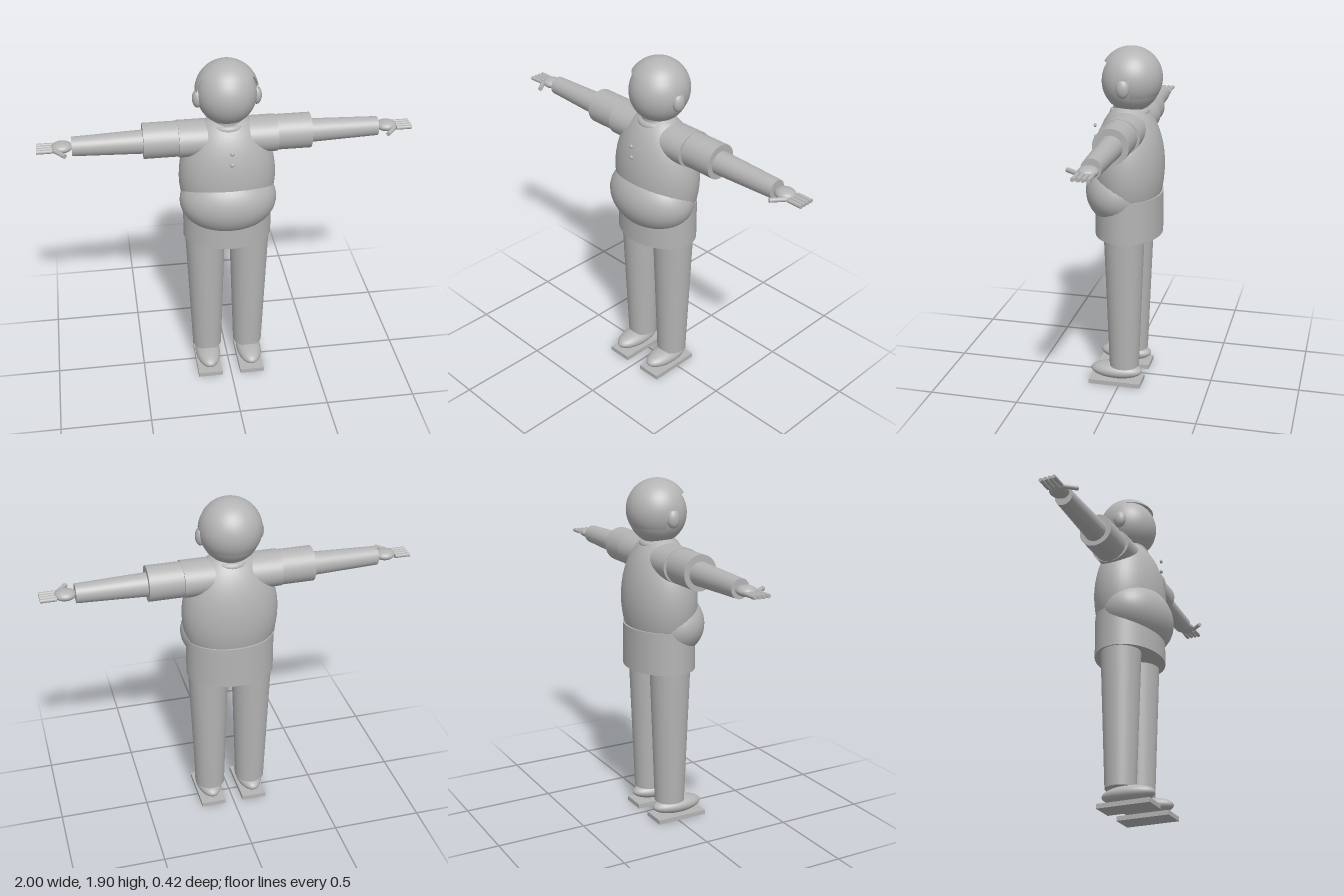
import * as THREE from 'three';

export function createModel() {
  const model = new THREE.Group();
  const grey = new THREE.MeshStandardMaterial({ color: 0xb4b4b4, side: THREE.DoubleSide });
  grey.name = 'plain grey';

  const add = (name, geometry, x, y, z) => {
    const mesh = new THREE.Mesh(geometry, grey);
    mesh.name = name;
    mesh.position.set(x, y, z);
    model.add(mesh);
    return mesh;
  };
  const ellipsoid = (name, x, y, z, rx, ry, rz) =>
    add(name, new THREE.SphereGeometry(1, 40, 28).scale(rx, ry, rz), x, y, z);

  // Tapered round rod between two points
  const rod = (name, a, b, ra, rb, sides = 40) => {
    const p = new THREE.Vector3(...a), q = new THREE.Vector3(...b);
    const dir = q.clone().sub(p);
    const mid = p.clone().add(q).multiplyScalar(0.5);
    const mesh = add(name, new THREE.CylinderGeometry(rb, ra, dir.length(), sides), mid.x, mid.y, mid.z);
    mesh.quaternion.setFromUnitVectors(new THREE.Vector3(0, 1, 0), dir.normalize());
    return mesh;
  };

  // Band of a sphere between two heights, kept only behind the plane z = cut
  const hairBand = (name, r, y0, y1, cut) => {
    const nu = 40, nv = 12, pos = [], index = [];
    const t0 = Math.acos(y1 / r), t1 = Math.acos(y0 / r);
    for (let j = 0; j <= nv; j++) {
      const t = t0 + (t1 - t0) * j / nv;
      const ring = r * Math.sin(t);
      const start = ring > cut ? Math.acos(Math.max(-1, cut / Math.max(ring, 1e-6))) : 0;
      for (let i = 0; i <= nu; i++) {
        const a = start + (2 * Math.PI - 2 * start) * i / nu;
        pos.push(ring * Math.sin(a), r * Math.cos(t), ring * Math.cos(a));
        if (i < nu && j < nv) {
          const k = j * (nu + 1) + i, m = k + nu + 1;
          index.push(k, m, k + 1, k + 1, m, m + 1);
        }
      }
    }
    const g = new THREE.BufferGeometry();
    g.setAttribute('position', new THREE.Float32BufferAttribute(pos, 3));
    g.setAttribute('normal', new THREE.Float32BufferAttribute(pos.map(v => v / r), 3));
    g.setIndex(index);
    add(name, g, 0, 1.737, -0.03);
  };

  // Head and stepped hair
  ellipsoid('head', 0, 1.72, -0.03, 0.158, 0.165, 0.158);
  hairBand('hairCrown', 0.167, 0.089, 0.167, 1);
  hairBand('hairSides', 0.167, 0.013, 0.089, 0.042);
  hairBand('hairBack', 0.167, -0.092, 0.013, -0.025);

  // Neck and collar
  add('neck', new THREE.CylinderGeometry(0.085, 0.085, 0.12, 40), 0, 1.55, -0.02);
  add('collar', new THREE.TorusGeometry(0.085, 0.021, 16, 48).rotateX(Math.PI / 2), 0, 1.553, -0.02);

  // Body
  ellipsoid('torso', 0, 1.25, -0.02, 0.262, 0.36, 0.19);
  ellipsoid('belly', 0, 1.12, 0.02, 0.264, 0.19, 0.194);
  add('hips', new THREE.CylinderGeometry(1, 1, 0.235, 48).scale(0.243, 1, 0.184), 0, 0.9925, -0.021);
  add('shoulderYoke', new THREE.CylinderGeometry(1, 1, 0.524, 48).rotateZ(Math.PI / 2).scale(1, 0.096, 0.112), 0, 1.475, -0.024);
  for (const y of [1.4, 1.465]) ellipsoid('button', 0, y, 0.171, 0.011, 0.011, 0.008);

  for (const s of [1, -1]) {
    const side = s > 0 ? 'left' : 'right';
    ellipsoid(side + 'Ear', s * 0.155, 1.705, -0.018, 0.028, 0.05, 0.036);

    // Arm and hand
    rod(side + 'Sleeve', [s * 0.25, 1.475, -0.026], [s * 0.447, 1.475, -0.026], 0.095, 0.095);
    rod(side + 'Arm', [s * 0.43, 1.471, -0.026], [s * 0.817, 1.471, -0.026], 0.064, 0.051);
    ellipsoid(side + 'Hand', s * 0.868, 1.472, -0.026, 0.056, 0.028, 0.051);
    for (let i = 0; i < 4; i++) {
      const z = -0.061 + i * 0.0245;
      rod(side + 'Finger', [s * 0.915, 1.47, z], [s, 1.47, z], 0.011, 0.011, 16);
    }
    rod(side + 'Thumb', [s * 0.905, 1.47, 0.01], [s * 0.853, 1.47, 0.077], 0.012, 0.012, 16);

    // Leg and shoe
    rod(side + 'Leg', [s * 0.12, 0.11, -0.02], [s * 0.124, 0.885, -0.02], 0.083, 0.111);
    ellipsoid(side + 'Shoe', s * 0.122, 0.073, 0.025, 0.071, 0.047, 0.148);
    add(side + 'Sole', new THREE.BoxGeometry(0.14, 0.025, 0.297), s * 0.122, 0.0125, 0.025);
  }
  return model;
}
